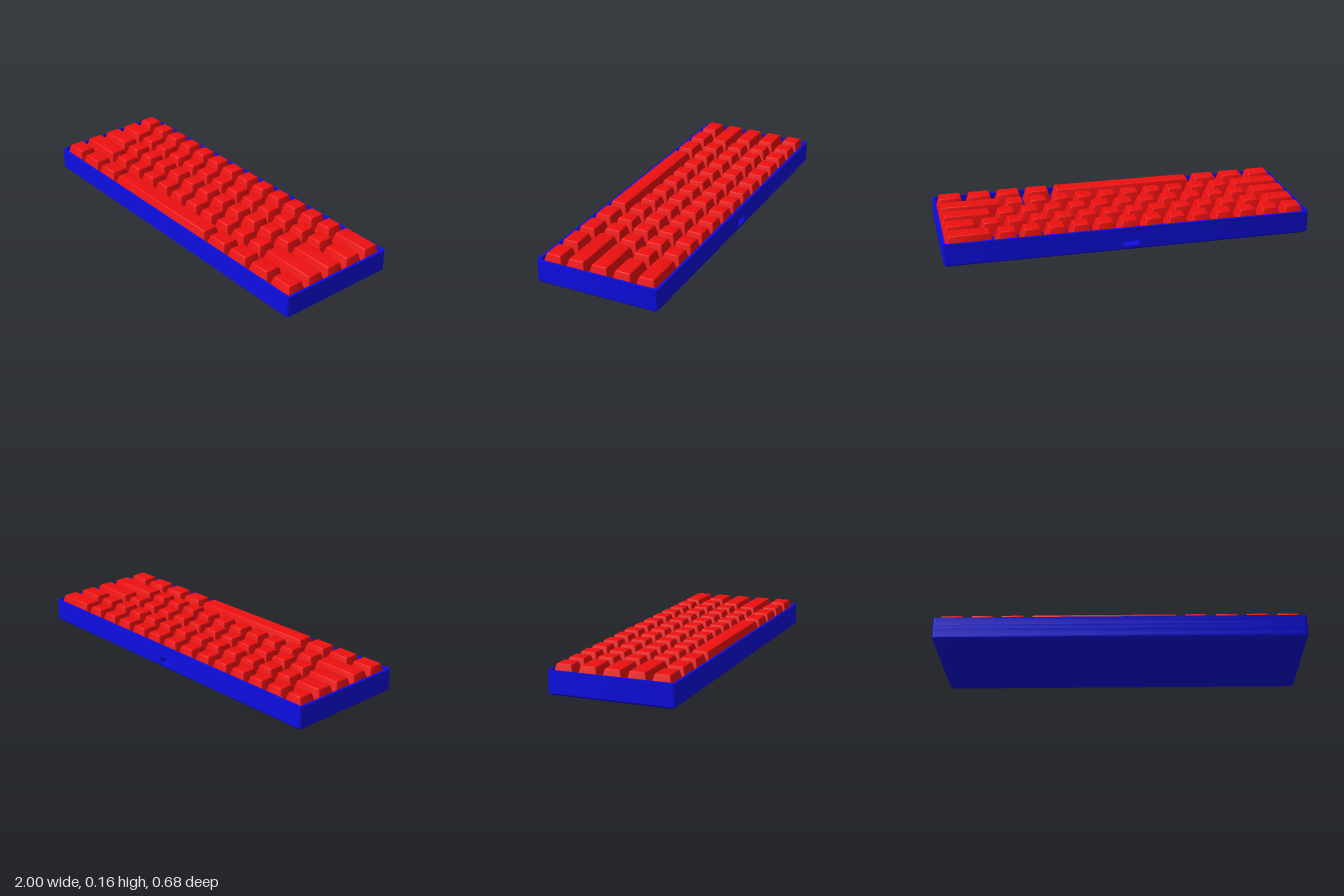
import * as THREE from 'three';
import { toCreasedNormals } from 'three/addons/utils/BufferGeometryUtils.js';

const BLUE = new THREE.MeshStandardMaterial({ color: 0x0d0de6 });
const RED = new THREE.MeshStandardMaterial({ color: 0xee1010 });
const UNIT = 0.1318; // width of a standard key cell

// Corner-rounded rectangle as a list of points, counter-clockwise
function roundedRect(w, d, r, steps = 3) {
  const pts = [];
  [[1, 1], [-1, 1], [-1, -1], [1, -1]].forEach(([sx, sy], q) => {
    for (let i = 0; i <= steps; i++) {
      const a = (q + i / steps) * Math.PI / 2;
      pts.push(new THREE.Vector2(
        sx * (w / 2 - r) + r * Math.cos(a),
        sy * (d / 2 - r) + r * Math.sin(a)));
    }
  });
  return pts;
}

// Closed solid through rounded-rectangle rings { y, w, d, r, z }, bottom to top
function loft(rings) {
  const pos = [], index = [];
  let n = 0;
  for (const { y, w, d, r, z = 0 } of rings) {
    const pts = roundedRect(w, d, r);
    n = pts.length;
    pts.forEach(p => pos.push(p.x, y, z - p.y));
  }
  for (let k = 0; k < rings.length - 1; k++) {
    for (let i = 0; i < n; i++) {
      const a = k * n + i, b = k * n + (i + 1) % n;
      index.push(a, b, b + n, a, b + n, a + n);
    }
  }
  const top = (rings.length - 1) * n;
  for (let i = 1; i < n - 1; i++) {
    index.push(0, i + 1, i);
    index.push(top, top + i, top + i + 1);
  }
  const geo = new THREE.BufferGeometry();
  geo.setAttribute('position', new THREE.Float32BufferAttribute(pos, 3));
  geo.setIndex(index);
  return toCreasedNormals(geo, 0.5);
}

// Horizontal layer of a shape between two heights (shape y points to the back)
function layer(shape, y0, y1) {
  const geo = new THREE.ExtrudeGeometry(shape, { depth: y1 - y0, bevelEnabled: false });
  geo.rotateX(-Math.PI / 2).translate(0, y0, 0);
  return toCreasedNormals(geo, 0.5);
}

function add(parent, name, geo, mat) {
  const mesh = new THREE.Mesh(geo, mat);
  mesh.name = name;
  parent.add(mesh);
  return mesh;
}

function createCase() {
  const group = new THREE.Group();
  group.name = 'case';
  const W = 2, D = 0.68, R = 0.014;

  // Chamfered underside
  add(group, 'caseBottom', loft([
    { y: 0, w: W - 0.026, d: D - 0.026, r: 0.008 },
    { y: 0.012, w: W, d: D, r: R },
    { y: 0.027, w: W, d: D, r: R },
  ]), BLUE);

  // Middle layer, notched at the back for the cable port
  const outline = roundedRect(W, D, R);
  const notched = [...outline];
  notched.splice(4, 0,
    new THREE.Vector2(0.042, D / 2), new THREE.Vector2(0.042, D / 2 - 0.05),
    new THREE.Vector2(-0.042, D / 2 - 0.05), new THREE.Vector2(-0.042, D / 2));
  add(group, 'cablePortLayer', layer(new THREE.Shape(notched), 0.027, 0.062), BLUE);

  // Plate below the keys
  add(group, 'keyPlate', layer(new THREE.Shape(outline), 0.062, 0.085), BLUE);

  // Raised rim around the keys
  const rim = new THREE.Shape(outline);
  rim.holes.push(new THREE.Path(roundedRect(W - 0.028, D - 0.028, 0.008).reverse()));
  add(group, 'caseRim', layer(rim, 0.085, 0.128), BLUE);
  return group;
}

// Tapered keycap with a softened top edge; units is its width in key cells
function keycapGeometry(units) {
  const w = units * UNIT - 0.012, d = 0.118;
  return loft([
    { y: 0.085, w, d, r: 0.005 },
    { y: 0.149, w: w - 0.033, d: d - 0.031, r: 0.006, z: -0.002 },
    { y: 0.155, w: w - 0.037, d: d - 0.035, r: 0.006, z: -0.002 },
    { y: 0.158, w: w - 0.045, d: d - 0.043, r: 0.006, z: -0.002 },
  ]);
}

function createKeys() {
  const group = new THREE.Group();
  group.name = 'keys';
  const ones = n => Array(n).fill(1);
  // Key widths per row, back to front
  const rows = [
    [...ones(13), 2],
    [1.5, ...ones(12), 1.5],
    [1.75, ...ones(11), 2.25],
    [2.25, ...ones(10), 2.75],
    [1.25, 1.25, 1.25, 6.25, 1.25, 1.25, 1.25, 1.25],
  ];
  const cache = {};
  rows.forEach((widths, r) => {
    const row = new THREE.Group();
    row.name = `keyRow${r + 1}`;
    row.position.z = (r - 2) * 0.131;
    let x = -7.5 * UNIT;
    for (const units of widths) {
      cache[units] ??= keycapGeometry(units);
      const key = add(row, units > 6 ? 'spaceBar' : 'keycap', cache[units], RED);
      key.position.x = x + units * UNIT / 2;
      x += units * UNIT;
    }
    group.add(row);
  });
  return group;
}

export function createModel() {
  const model = new THREE.Group();
  model.name = 'keyboard';
  model.add(createCase(), createKeys());
  return model;
}
